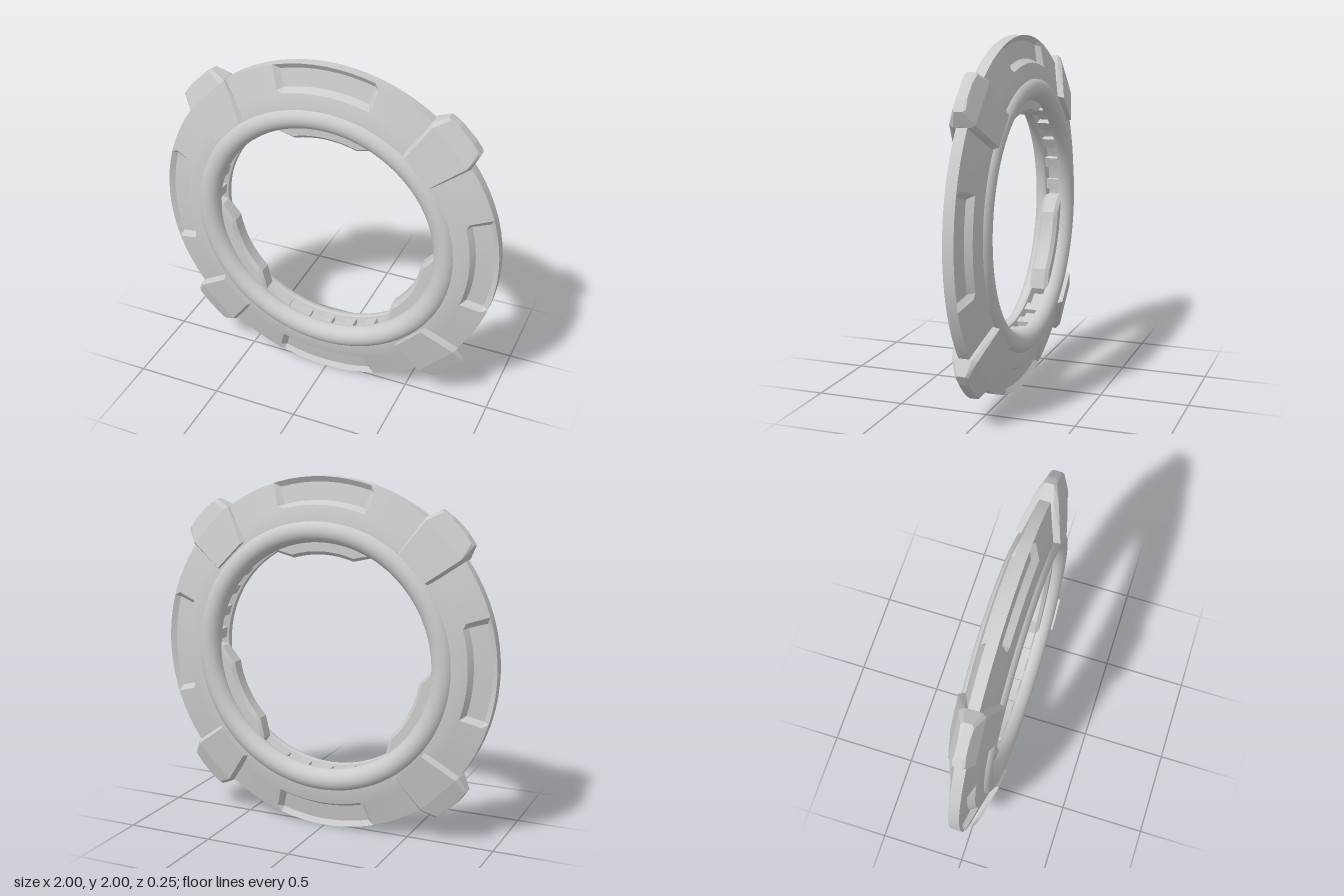
import * as THREE from 'three';
import { toCreasedNormals } from 'three/addons/utils/BufferGeometryUtils.js';
import { ConvexGeometry } from 'three/addons/geometries/ConvexGeometry.js';

const RAD = Math.PI / 180;
const material = new THREE.MeshStandardMaterial({ color: 0xcccccc });

// Sweeps a closed (radius, z) cross-section, which may vary with the angle, around the z axis.
function sweep(angles, profileAt, crease = 0.45) {
  const rows = angles.map((a) => profileAt(a).map(([r, z]) => [r * Math.cos(a * RAD), r * Math.sin(a * RAD), z]));
  const n = rows[0].length;
  const positions = [];
  for (let i = 0; i < rows.length - 1; i++) {
    for (let j = 0; j < n; j++) {
      const k = (j + 1) % n;
      const a = rows[i][j], b = rows[i][k], c = rows[i + 1][k], d = rows[i + 1][j];
      positions.push(...a, ...b, ...c, ...a, ...c, ...d);
    }
  }
  const geometry = new THREE.BufferGeometry();
  geometry.setAttribute('position', new THREE.Float32BufferAttribute(positions, 3));
  return toCreasedNormals(geometry, crease);
}

// Completes a front half cross-section with its mirror image behind.
const mirrorZ = (half) => [...half, ...half.slice().reverse().map(([r, z]) => [r, -z])];

function range(from, to, steps) {
  return Array.from({ length: steps + 1 }, (_, i) => from + ((to - from) * i) / steps);
}

function add(parent, name, geometry) {
  const mesh = new THREE.Mesh(geometry, material);
  mesh.name = name;
  parent.add(mesh);
  return mesh;
}

// Tapering disc with four sunken trays on each face
function bodyGeometry() {
  const angles = [];
  for (let q = 0; q < 4; q++) {
    const quarter = [-17.8, ...range(-16, 16, 8), ...range(17.8, 72.2, 12).slice(0, -1)];
    angles.push(...quarter.map((a) => a + q * 90));
  }
  angles.push(342.2);
  return sweep(angles, (a) => {
    const offset = Math.abs(a - Math.round(a / 90) * 90);
    const sunk = offset < 17 ? 1 : 0;
    return mirrorZ([
      [0.72, 0.09], [0.775, 0.09], [0.85, 0.07],
      [0.872, 0.064 - 0.032 * sunk], [0.97, 0.038 - 0.026 * sunk], [1, 0.03],
    ]);
  });
}

// Rounded collar on both faces with a flat channel inside
function collarGeometry() {
  const half = [[0.69, 0.03], [0.65, 0.042]];
  for (const t of range(180, 0, 14)) {
    half.push([0.71 + 0.065 * Math.cos(t * RAD), 0.053 + 0.065 * Math.sin(t * RAD)]);
  }
  return sweep(range(0, 360, 96), () => mirrorZ(half), 0.6);
}

// Inner pad with sloping ends and chamfered edges
function padGeometry() {
  const angles = [-27.5, -27, ...range(-18, 18, 8), 27, 27.5];
  return sweep(angles, (a) => {
    const off = Math.abs(a);
    const r = off > 27.2 ? 0.7 : off > 20 ? 0.645 : 0.575;
    const edge = Math.min(r + 0.02, 0.7);
    return mirrorZ([[r, 0.035], [edge, 0.055], [0.7, 0.055]]);
  });
}

// Wedge-shaped lug straddling the rim: [radius, half width, half depth]
function lugGeometry() {
  const sections = [[0.77, 0.12, 0.125], [0.99, 0.156, 0.07], [1.075, 0.127, 0.035], [1.088, 0.06, 0.029]];
  const points = [];
  for (const [r, w, z] of sections) {
    for (const sx of [-1, 1]) {
      for (const sz of [-1, 1]) {
        points.push(new THREE.Vector3(r, sx * (w - 0.018), sz * z));
        points.push(new THREE.Vector3(r, sx * w, sz * z * 0.65));
      }
    }
  }
  return new ConvexGeometry(points);
}

export function createModel() {
  const group = new THREE.Group();
  group.name = 'ring';
  const ring = new THREE.Group();
  ring.name = 'ringAssembly';
  ring.position.y = 1;
  group.add(ring);

  add(ring, 'disc', bodyGeometry());
  add(ring, 'collar', collarGeometry());

  const lug = lugGeometry();
  for (let i = 0; i < 4; i++) add(ring, 'lug', lug).rotation.z = (45 + i * 90) * RAD;

  const pad = padGeometry();
  for (const angle of [90, 207, 333]) add(ring, 'innerPad', pad).rotation.z = angle * RAD;

  // Small teeth in the channel between the pads
  const tooth = new THREE.BoxGeometry(0.04, 0.06, 0.09);
  tooth.translate(0.68, 0, 0);
  for (const middle of [30, 150, 270]) {
    for (const step of [-2, -1, 0, 1, 2]) {
      add(ring, 'channelTooth', tooth).rotation.z = (middle + step * 12) * RAD;
    }
  }
  return group;
}
